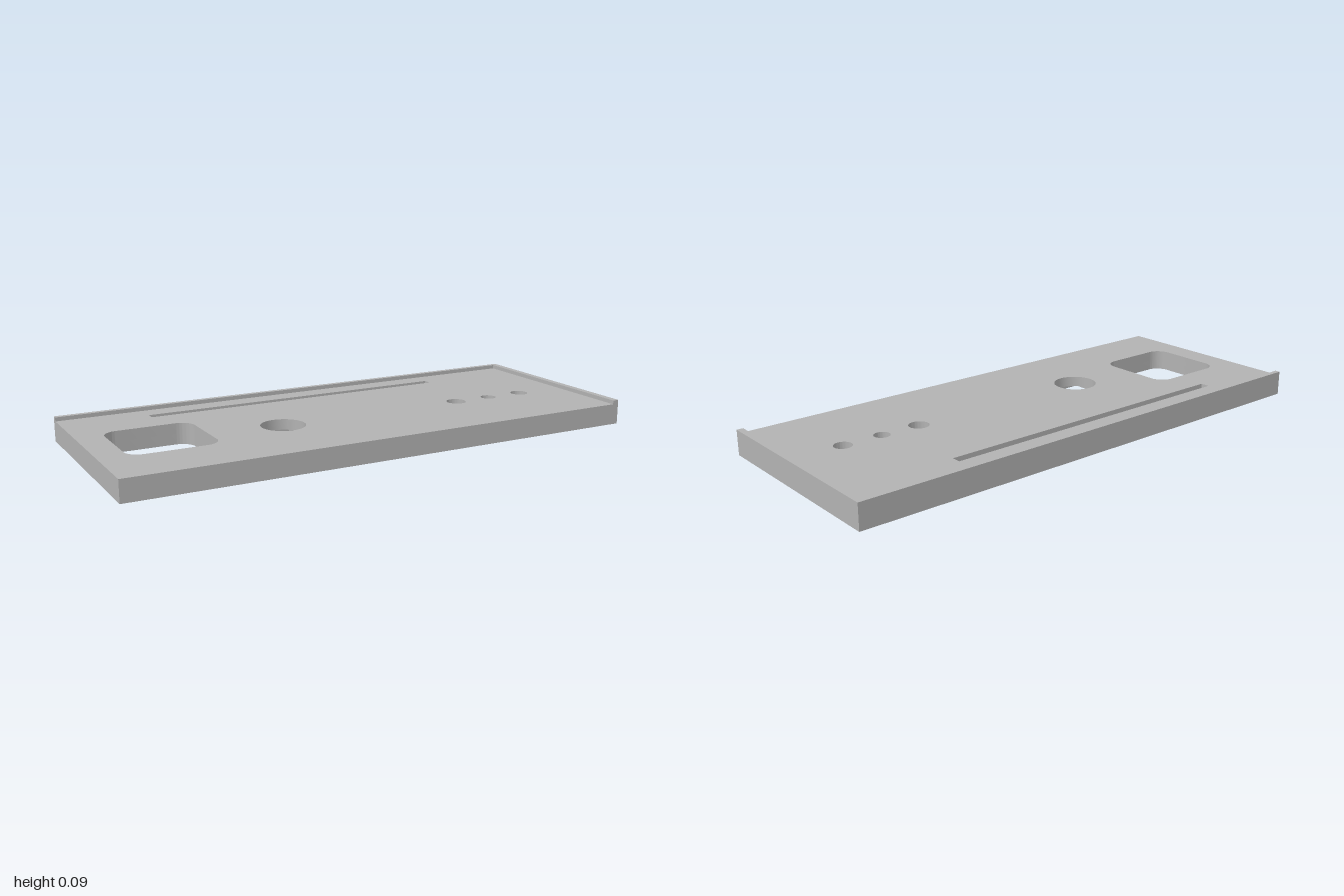
import * as THREE from 'three';
import { toCreasedNormals } from 'three/addons/utils/BufferGeometryUtils.js';

// Outlines are drawn in plan as (x, z); shape y is -z so that z points to the front.
function rectPath(x0, x1, z0, z1, r = 0, Type = THREE.Path) {
  const p = new Type(), b = -z1, t = -z0;
  if (r === 0) {
    p.moveTo(x0, b).lineTo(x1, b).lineTo(x1, t).lineTo(x0, t).closePath();
    return p;
  }
  p.moveTo(x0 + r, b).lineTo(x1 - r, b);
  p.absarc(x1 - r, b + r, r, -Math.PI / 2, 0);
  p.absarc(x1 - r, t - r, r, 0, Math.PI / 2);
  p.absarc(x0 + r, t - r, r, Math.PI / 2, Math.PI);
  p.absarc(x0 + r, b + r, r, Math.PI, Math.PI * 1.5);
  return p;
}

function circlePath(x, z, r) {
  return new THREE.Path().absarc(x, -z, r, 0, Math.PI * 2);
}

function slab(name, shape, y0, y1, material) {
  const extruded = new THREE.ExtrudeGeometry(shape, { depth: y1 - y0, bevelEnabled: false, curveSegments: 24 });
  extruded.rotateX(-Math.PI / 2).translate(0, y0, 0);
  const mesh = new THREE.Mesh(toCreasedNormals(extruded, 0.6), material);
  mesh.name = name;
  return mesh;
}

export function createModel() {
  const group = new THREE.Group();
  group.name = 'panel';
  const grey = new THREE.MeshStandardMaterial({ color: 0xb2b2b2 });
  grey.name = 'plain grey';

  const recessTop = 0.04, plateTop = 0.08, rimTop = 0.095;

  // Openings that run right through the plate
  const throughHoles = () => [
    rectPath(-0.9, -0.57, -0.145, 0.18, 0.055),
    rectPath(-0.67, 0.56, -0.305, -0.27),
    circlePath(0.465, 0.065, 0.038),
    circlePath(0.62, 0.065, 0.03),
    circlePath(0.775, 0.065, 0.034),
  ];

  // Lower layer, with the square recess and the blind hole open underneath
  const lower = rectPath(-1, 1, -0.4, 0.4, 0, THREE.Shape);
  lower.holes = [
    ...throughHoles(),
    rectPath(-0.44, -0.14, -0.088, 0.218),
    circlePath(0.33, -0.13, 0.028),
  ];
  group.add(slab('lowerPlate', lower, 0, recessTop, grey));

  // Upper layer, with the round opening above the recess
  const upper = rectPath(-1, 1, -0.4, 0.4, 0, THREE.Shape);
  upper.holes = [...throughHoles(), circlePath(-0.29, 0.065, 0.083)];
  group.add(slab('upperPlate', upper, recessTop, plateTop, grey));

  // Raised rim along the back edge and the +x end
  const rim = new THREE.Shape();
  rim.moveTo(1, -0.4).lineTo(1, 0.4).lineTo(-1, 0.4).lineTo(-1, 0.38);
  rim.lineTo(0.975, 0.38).lineTo(0.975, -0.4).closePath();
  group.add(slab('raisedRim', rim, plateTop, rimTop, grey));

  return group;
}
